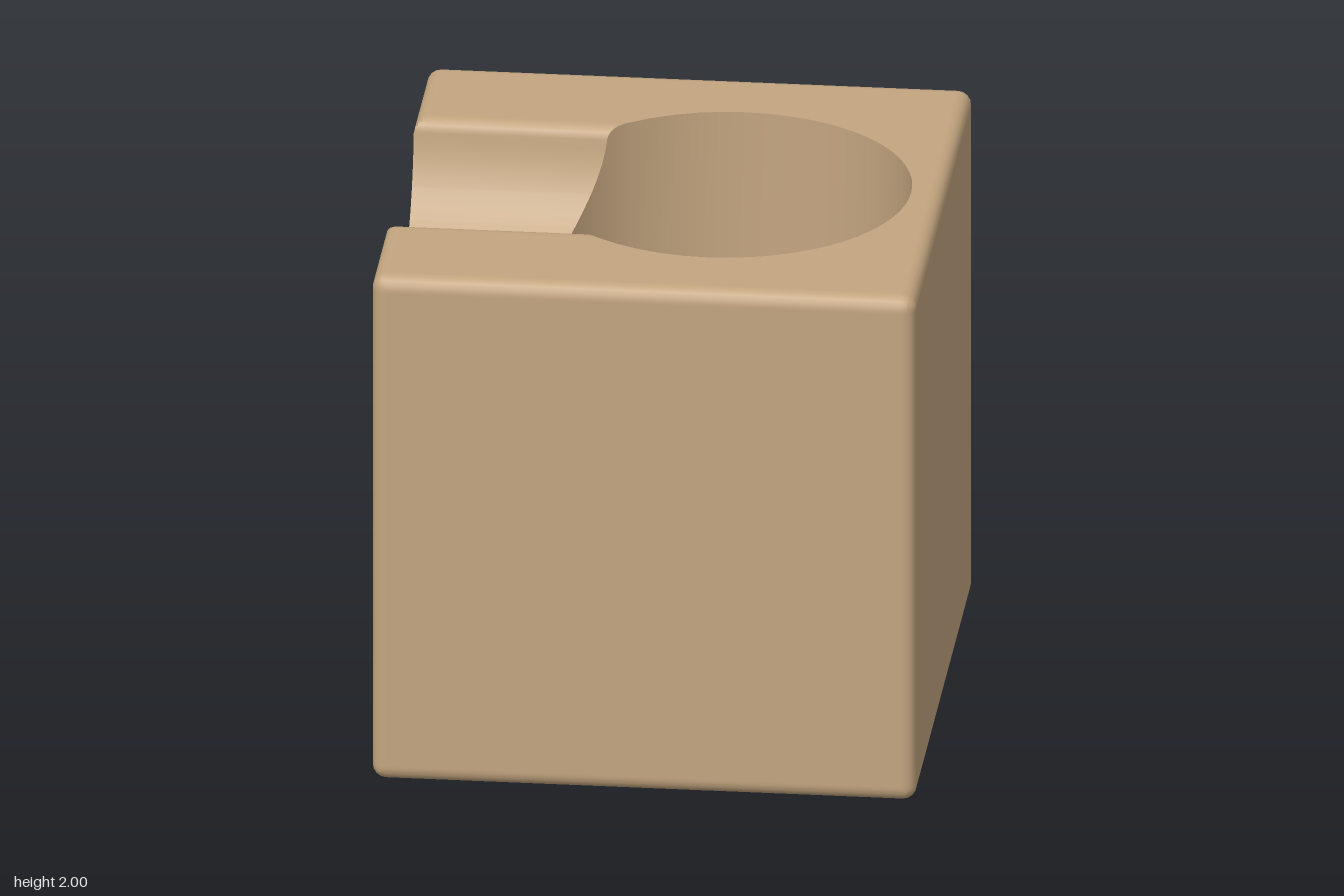
import * as THREE from 'three';
import { toCreasedNormals } from 'three/addons/utils/BufferGeometryUtils.js';

const R = 0.05;                       // edge rounding
const IN = 1 - R, TOP = 2;
const BOWL = { x: 0.2, r: 0.68, floorR: 0.475, coneY: 0.9, floorY: 0.6 };
const GROOVE = 0.475;                 // channel radius
const LIP = Math.sqrt((GROOVE + R) ** 2 - R * R);   // centre of the lip rounding
const TANGENT = LIP * GROOVE / (GROOVE + R);        // where channel meets lip

// Height of the channel surface at depth z
function grooveY(z) {
  const a = Math.abs(z);
  if (a < TANGENT) return TOP - Math.sqrt(GROOVE * GROOVE - a * a);
  if (a < LIP) return TOP - R + Math.sqrt(R * R - (a - LIP) ** 2);
  return TOP;
}

const bowlHalf = z => Math.sqrt(Math.max(0, BOWL.r ** 2 - z * z));

// z samples across the top: bowl rim, channel arc, lips
function topSamples() {
  const zs = [0, 0.94, BOWL.r, TANGENT, LIP];
  for (let i = 1; i < 12; i++) {
    const s = Math.sin(i / 12 * Math.PI / 2);
    zs.push(BOWL.r * s, TANGENT * s);
  }
  for (let i = 1; i < 5; i++) zs.push(LIP - R * Math.cos(i / 5 * Math.PI / 2) * (LIP - TANGENT) / R);
  const all = [...zs, ...zs.map(z => -z)].sort((a, b) => a - b);
  return all.filter((z, i) => i === 0 || z - all[i - 1] > 0.0015);
}

// Quad grid of points, wound row by row
function gridGeometry(rows, skipColumn = -1) {
  const pos = [];
  const n = rows.length, m = rows[0].length;
  for (let j = 0; j < n; j++) {
    const p = rows[j], q = rows[(j + 1) % n];
    for (let i = 0; i < m - 1; i++) {
      if (i === skipColumn) continue;
      pos.push(...p[i], ...q[i], ...q[i + 1], ...p[i], ...q[i + 1], ...p[i + 1]);
    }
  }
  const geo = new THREE.BufferGeometry();
  geo.setAttribute('position', new THREE.Float32BufferAttribute(pos, 3));
  // Enlarged while creasing so close points stay separate
  geo.scale(100, 100, 100);
  const out = toCreasedNormals(geo, Math.PI / 6);
  return out.scale(0.01, 0.01, 0.01);
}

// Closed section loop: a centre point plus a rounding direction
function sectionLoop(zs) {
  const loop = zs.map(z => ({ z, y: TOP - R, dz: 0, dy: 1, top: true }));
  const corner = (z, y, start) => {
    for (let k = 0; k <= 4; k++) {
      const a = (start - k * 22.5) * Math.PI / 180;
      loop.push({ z, y, dz: Math.cos(a), dy: Math.sin(a) });
    }
  };
  const flat = (z, y, dz, dy) => loop.push({ z, y, dz, dy });
  corner(IN, TOP - R, 90);
  flat(IN, 1.94, 1, 0); flat(IN, 0.06, 1, 0);
  corner(IN, R, 0);
  flat(0.94, R, 0, -1); flat(-0.94, R, 0, -1);
  corner(-IN, R, -90);
  flat(-IN, 0.06, -1, 0); flat(-IN, 1.94, -1, 0);
  corner(-IN, TOP - R, 180);
  return loop;
}

function sectionPoint(p, x, s, grooved, cap) {
  let y = p.y + R * s * p.dy, z = p.z + R * s * p.dz;
  if (cap) {
    y = THREE.MathUtils.clamp(y, 0.06, 1.94);
    z = THREE.MathUtils.clamp(z, -0.94, 0.94);
  }
  if (p.top && grooved) y = Math.min(y, grooveY(z));
  return [x, y, z];
}

export function createModel() {
  const group = new THREE.Group();
  const wood = new THREE.MeshStandardMaterial({ color: 0xc4a680 });
  wood.name = 'tan wood';
  const add = (name, geo) => {
    const mesh = new THREE.Mesh(geo, wood);
    mesh.name = name;
    group.add(mesh);
  };

  const zs = topSamples();

  // Rounded block with the channel on its -x half and an opening for the bowl
  const ends = [{ x: 1, s: 0, cap: true }];
  for (let k = 0; k <= 4; k++) {
    const a = k / 4 * Math.PI / 2;
    ends.push({ x: IN + R * Math.cos(a), s: Math.sin(a) });
  }
  ends.push({ x: 0.94, s: 1 });
  const rows = sectionLoop(zs).map(p => {
    const half = p.top ? bowlHalf(p.z) : 0;
    const left = ends.map(e => sectionPoint(p, -e.x, e.s, true, e.cap));
    const right = ends.map(e => sectionPoint(p, e.x, e.s, false, e.cap)).reverse();
    return [...left, sectionPoint(p, BOWL.x - half, 1, true),
      sectionPoint(p, BOWL.x + half, 1, false), ...right];
  });
  add('block', gridGeometry(rows, ends.length));

  // End faces, the first one notched by the channel
  const outline = rows.map(r => new THREE.Vector2(r[0][2], r[0][1]))
    .filter((p, i, a) => p.distanceTo(a[(i + 1) % a.length]) > 1e-5);
  add('channelEndFace', new THREE.ShapeGeometry(new THREE.Shape(outline))
    .rotateY(-Math.PI / 2).translate(-1, 0, 0));
  add('plainEndFace', new THREE.PlaneGeometry(1.88, 1.88)
    .rotateY(Math.PI / 2).translate(1, 1, 0));

  // Bowl: straight wall, sloped foot and flat floor
  const inside = zs.filter(z => Math.abs(z) <= BOWL.r + 1e-6);
  const rim = [
    ...inside.map(z => [BOWL.x - bowlHalf(z), grooveY(z), z]),
    ...inside.slice(1, -1).reverse().map(z => [BOWL.x + bowlHalf(z), TOP, z]),
  ];
  const k = BOWL.floorR / BOWL.r;
  const foot = rim.map(([x, , z]) => [BOWL.x + (x - BOWL.x) * k, BOWL.floorY, z * k]);
  add('bowlWall', gridGeometry(rim.map(([x, y, z], i) => [
    [x, y, z], [x, BOWL.coneY, z],
  ])));
  add('bowlSlope', gridGeometry(rim.map(([x, , z], i) => [[x, BOWL.coneY, z], foot[i]])));
  add('bowlFloor', gridGeometry(foot.map(p => [p, [BOWL.x, BOWL.floorY, 0]])));

  return group;
}
